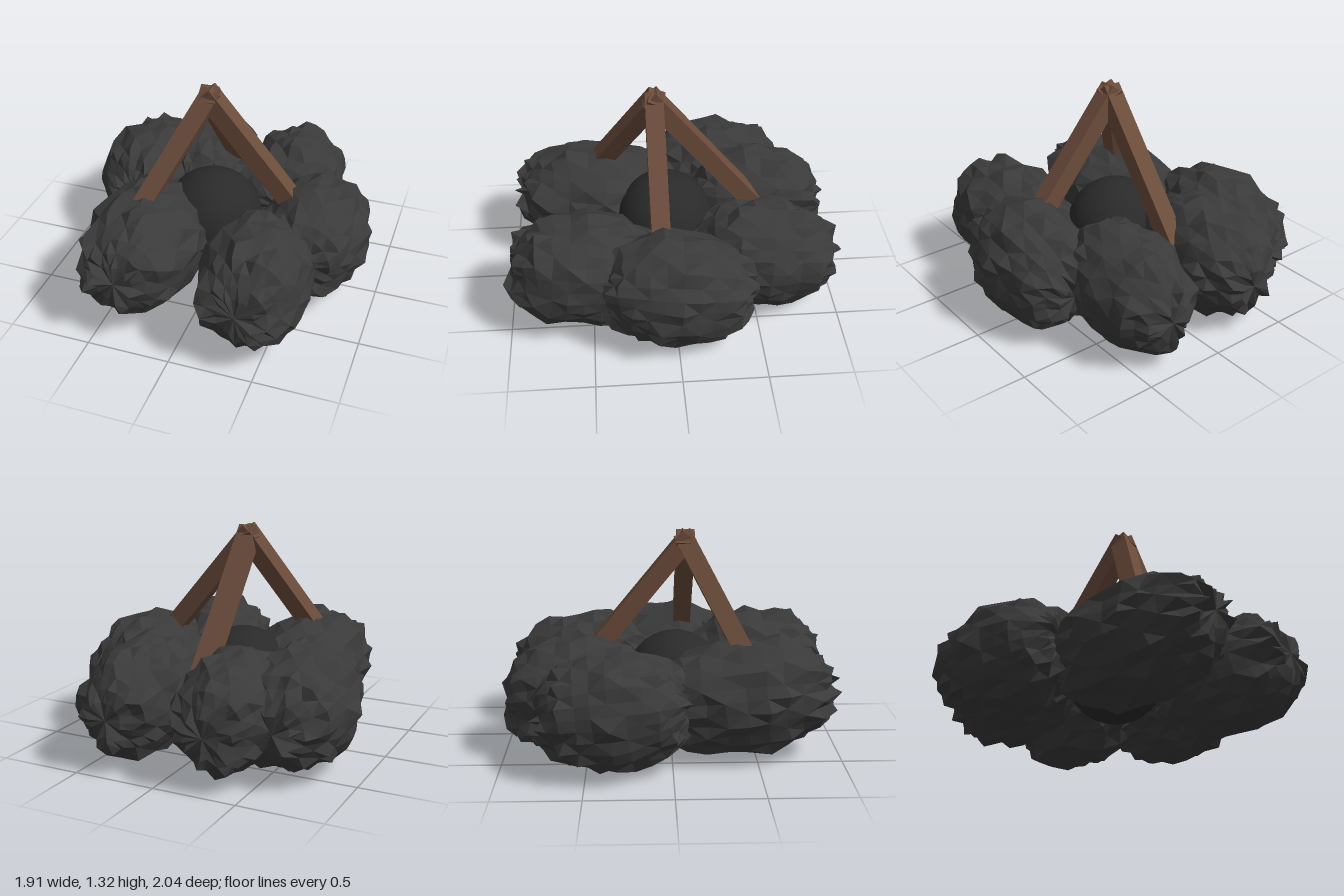
import * as THREE from 'three';

const rockMat = new THREE.MeshStandardMaterial({ color: 0x3a3a3a, flatShading: true });
const coreMat = new THREE.MeshStandardMaterial({ color: 0x2a2a2a });
const woodMat = new THREE.MeshStandardMaterial({ color: 0x6b4c3b, flatShading: true });

// Repeatable noise, 0..1
function seeded(seed) {
  let s = seed;
  return () => {
    s = (s * 16807) % 2147483647;
    return s / 2147483647;
  };
}

// Craggy boulder: a blunt ellipsoid with poles on z, mostly even with scattered spikes
function rockGeometry(rx, ry, rz, seed) {
  const rand = seeded(seed);
  const cols = 28, rows = 14;
  const pos = [], idx = [];
  for (let i = 0; i <= rows; i++) {
    const a = (i / rows) * Math.PI;
    const pole = i === 0 || i === rows;
    const ring = pole ? 0 : Math.pow(Math.sin(a), 0.72);
    for (let j = 0; j < cols; j++) {
      const t = (j / cols) * Math.PI * 2;
      const k = pole ? 0.97 : 0.96 + 0.15 * Math.pow(rand(), 2.2);
      const z = Math.cos(a) * rz * k;
      pos.push(Math.cos(t) * ring * rx * k, Math.sin(t) * ring * ry * k, z);
    }
  }
  for (let i = 0; i < rows; i++) {
    for (let j = 0; j < cols; j++) {
      const n = (j + 1) % cols;
      const a = i * cols + j, b = i * cols + n;
      const c = a + cols, d = b + cols;
      // Alternate the diagonals so the facets do not spiral
      if (i === 0) idx.push(a, c, d);
      else if (i === rows - 1) idx.push(a, d, b);
      else if ((i + j) % 2) idx.push(a, c, d, a, d, b);
      else idx.push(a, c, b, b, c, d);
    }
  }
  const g = new THREE.BufferGeometry();
  g.setAttribute('position', new THREE.Float32BufferAttribute(pos, 3));
  g.setIndex(idx);
  g.computeVertexNormals();
  return g;
}

export function createModel() {
  const group = new THREE.Group();

  // Ring of boulders: x, z, half width, half length
  const rocks = [
    [-0.35, 0.42, 0.345, 0.53],
    [0.385, 0.54, 0.33, 0.45],
    [0.59, 0.0, 0.33, 0.44],
    [0.32, -0.55, 0.3, 0.43],
    [-0.29, -0.56, 0.305, 0.43],
    [-0.6, -0.35, 0.33, 0.43],
  ];
  rocks.forEach(([x, z, r, len], i) => {
    const rock = new THREE.Mesh(rockGeometry(r, 0.335, len, 1234 + i * 777), rockMat);
    rock.name = 'rock' + (i + 1);
    rock.position.set(x, 0.372, z);
    rock.rotation.x = -0.1;
    group.add(rock);
  });

  // Smooth ball in the middle of the ring
  const core = new THREE.Mesh(new THREE.SphereGeometry(0.305, 32, 24), coreMat);
  core.name = 'centreBall';
  core.position.set(-0.06, 0.385, 0.03);
  group.add(core);

  // Tripod of square beams whose ends cross at the top
  const up = new THREE.Vector3(0, 1, 0);
  const apex = new THREE.Vector3(-0.06, 1.25, 0.09);
  const feet = [[-0.44, 0.5, 0.5], [0.56, 0.51, 0.085], [-0.05, 0.47, -0.55]];
  feet.forEach((f, i) => {
    const foot = new THREE.Vector3(...f);
    const dir = apex.clone().sub(foot).normalize();
    const top = apex.clone().addScaledVector(dir, 0.04);
    const leg = new THREE.Mesh(new THREE.BoxGeometry(0.11, top.distanceTo(foot), 0.11), woodMat);
    leg.name = 'tripodLeg' + (i + 1);
    leg.position.copy(top).add(foot).multiplyScalar(0.5);
    leg.quaternion.setFromUnitVectors(up, dir);
    group.add(leg);
  });

  return group;
}
